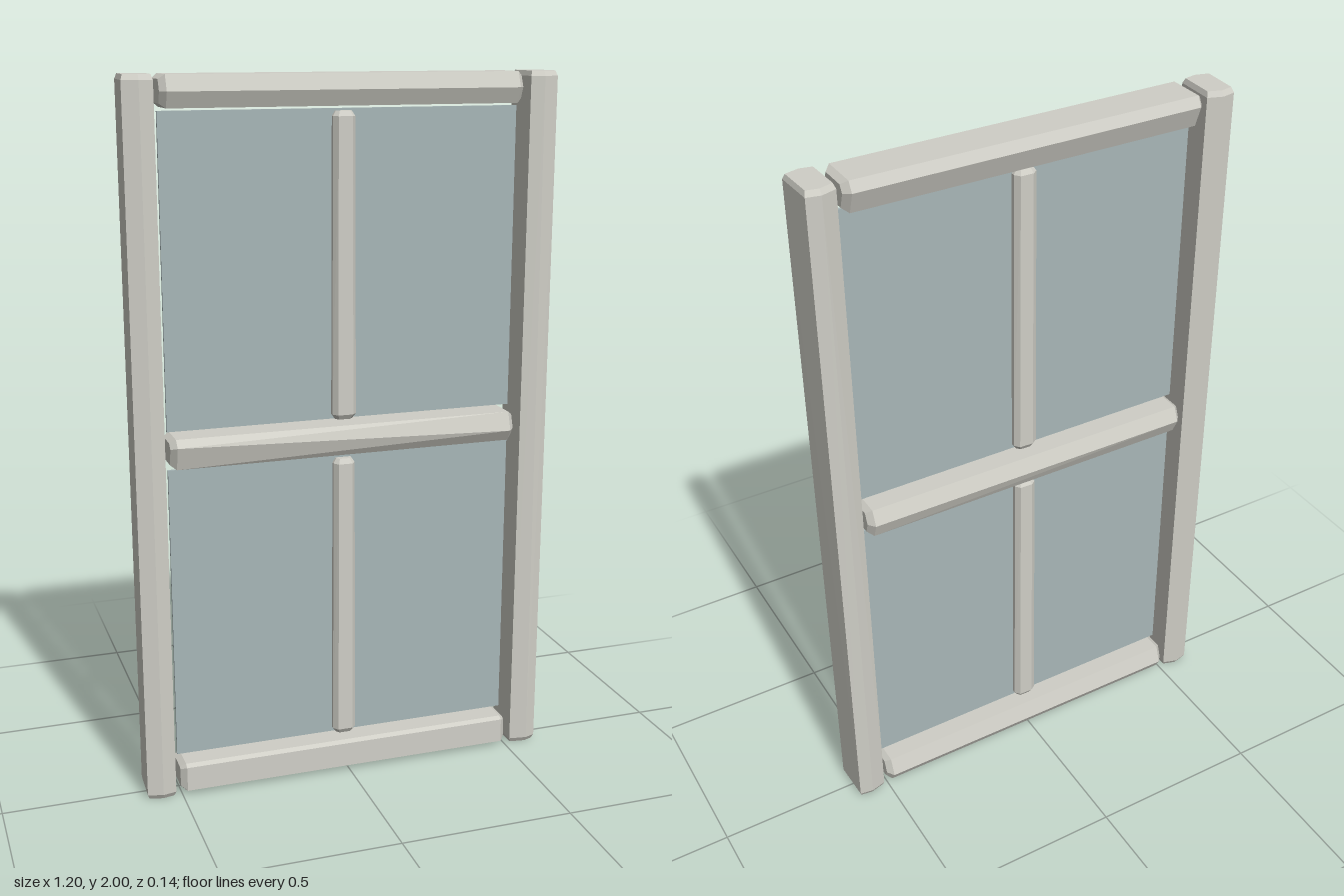
import * as THREE from 'three';
import { ConvexGeometry } from 'three/addons/geometries/ConvexGeometry.js';

const stone = new THREE.MeshStandardMaterial({ color: 0xcfcec6 });
stone.name = 'palePaintedFrame';
const glass = new THREE.MeshStandardMaterial({ color: 0xa8b7b8 });
glass.name = 'greyBlueGlass';

// Hewn beam: two end sections of [across, z], with a shrunken tip beyond each.
// Lies along x, or along y when upright.
function beam(name, { from, to, centre, start, end = start, inset, shrink, upright = false }) {
  const points = [];
  const ring = (section, along, scale) => {
    for (const [a, z] of section) {
      const across = centre + a * scale;
      points.push(upright
        ? new THREE.Vector3(across, along, z * scale)
        : new THREE.Vector3(along, across, z * scale));
    }
  };
  ring(start, from, shrink);
  ring(start, from + inset, 1);
  ring(end, to - inset, 1);
  ring(end, to, shrink);
  const mesh = new THREE.Mesh(new ConvexGeometry(points), stone);
  mesh.name = name;
  return mesh;
}

export function createModel() {
  const group = new THREE.Group();
  group.name = 'window';

  // Side posts
  const leftPost = [[0.042, 0.055], [0.012, 0.066], [-0.04, 0.058], [-0.043, -0.055], [0, -0.066], [0.038, -0.06]];
  const rightPost = [[0.038, 0.058], [0, 0.066], [-0.043, 0.054], [-0.038, -0.062], [0, -0.07], [0.042, -0.056]];
  const flip = (section) => section.map(([a, z]) => [-a, z]);
  group.add(beam('leftPost', {
    from: 0.003, to: 2, centre: 0.557, start: leftPost, end: flip(rightPost), inset: 0.014, shrink: 0.88, upright: true,
  }));
  group.add(beam('rightPost', {
    from: 0.003, to: 2, centre: -0.557, start: rightPost, inset: 0.014, shrink: 0.88, upright: true,
  }));

  // Horizontal rails, each with its own ridge lines
  const topRail = [[0.042, 0.05], [0, 0.068], [-0.042, 0.05], [-0.042, -0.05], [0.015, -0.071], [0.042, -0.056]];
  const midStart = [[0.042, 0.048], [0.022, 0.068], [-0.042, 0.05], [-0.042, -0.05], [0, -0.07], [0.042, -0.052]];
  const midEnd = [[0.042, 0.05], [-0.01, 0.068], [-0.042, 0.048], [-0.042, -0.052], [0, -0.068], [0.042, -0.05]];
  const bottomRail = [[0.041, 0.05], [0.034, 0.064], [-0.036, 0.066], [-0.041, 0.054], [-0.041, -0.05], [-0.01, -0.068], [0.041, -0.05]];
  const rail = { from: -0.503, to: 0.5, inset: 0.016, shrink: 0.72 };
  group.add(beam('topRail', { ...rail, centre: 1.957, start: topRail }));
  group.add(beam('middleRail', { ...rail, centre: 1.007, start: midStart, end: midEnd }));
  group.add(beam('bottomRail', { ...rail, centre: 0.054, start: bottomRail }));

  // Glazing bars and glass panes for the two sashes
  const bar = [[0.022, 0.031], [-0.022, 0.031], [-0.034, 0.015], [-0.034, -0.02], [-0.018, -0.031], [0.022, -0.03], [0.034, -0.015], [0.034, 0.018]];
  for (const [label, low, high] of [['lower', 0.105, 0.952], ['upper', 1.06, 1.907]]) {
    group.add(beam(label + 'GlazingBar', {
      from: low, to: high - 0.006, centre: -0.002, start: bar, end: bar.map(([a, z]) => [a * 0.9, z]),
      inset: 0.014, shrink: 0.72, upright: true,
    }));
    const pane = new THREE.Mesh(new THREE.BoxGeometry(1.004, high - low, 0.008), glass);
    pane.name = label + 'Pane';
    pane.position.set(0, (low + high) / 2, 0);
    group.add(pane);
  }
  return group;
}
